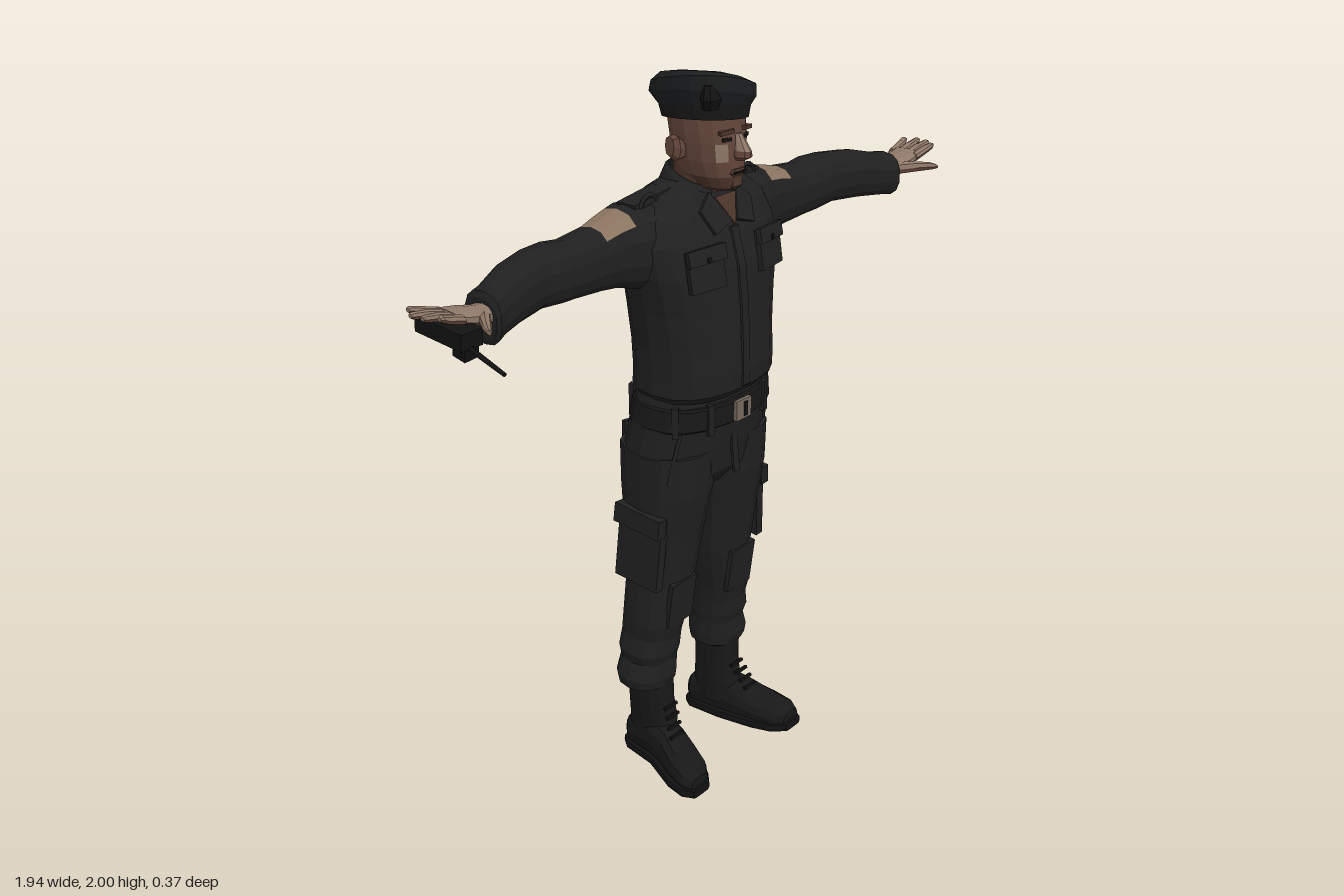
import * as THREE from 'three';

const mat = (name, color, extra = {}) => Object.assign(new THREE.MeshStandardMaterial({ color, ...extra }), { name });

export function createModel() {
  const root = new THREE.Group();
  root.name = 'uniformedMan';
  const cloth = mat('blackCloth', 0x202020, { side: THREE.DoubleSide });
  const leather = mat('blackLeather', 0x181818);
  const felt = mat('beretFelt', 0x1c1e1f);
  const skin = mat('faceSkin', 0x63463a);
  const jaw = mat('jawSkin', 0x4c352a);
  const light = mat('lightSkin', 0x8e7868);
  const patch = mat('tanPatch', 0x8a7460);
  const metal = mat('buckleMetal', 0x766a5f);
  const dark = mat('darkDetail', 0x121212);

  function add(name, geo, material, pos = [0, 0, 0], rot = [0, 0, 0], parent = root) {
    const m = new THREE.Mesh(geo, material);
    m.name = name;
    m.position.set(...pos);
    m.rotation.set(...rot);
    parent.add(m);
    return m;
  }
  const box = (name, size, material, pos, rot) => add(name, new THREE.BoxGeometry(...size), material, pos, rot);

  // Skin over rounded rings [t, c1, c2, r1, r2, tilt1, tilt2] set along an axis.
  // pick(i, j) chooses a material per face, or -1 for a gap; s mirrors in x.
  function loft(name, axis, rows, mats, { n = 14, p = 2.3, s = 1, pick = () => 0, caps = true } = {}) {
    const list = [].concat(mats);
    const faces = list.map(() => []);
    const bend = v => Math.sign(v) * Math.abs(v) ** (2 / p);
    const place = (t, a, b) => axis === 'y' ? [a * s, t, b] : axis === 'x' ? [t * s, a, b] : [a * s, b, t];
    const point = (i, j) => {
      const [t, c1, c2, r1, r2, k1 = 0, k2 = 0] = rows[i];
      const w = (j % n) / n * Math.PI * 2;
      const u = r1 * bend(Math.cos(w)), v = r2 * bend(Math.sin(w));
      return place(t + k1 * u + k2 * v, c1 + u, c2 + v);
    };
    const flip = (axis === 'y') !== (s < 0);
    const tri = (k, a, b, c) => faces[k].push(...(flip ? [...a, ...c, ...b] : [...a, ...b, ...c]));
    for (let i = 0; i < rows.length - 1; i++) for (let j = 0; j < n; j++) {
      const k = pick(i, j);
      if (k < 0) continue;
      tri(k, point(i, j), point(i, j + 1), point(i + 1, j + 1));
      tri(k, point(i, j), point(i + 1, j + 1), point(i + 1, j));
    }
    const last = rows.length - 1;
    const mid = i => place(rows[i][0], rows[i][1], rows[i][2]);
    if (caps) for (let j = 0; j < n; j++) {
      tri(0, mid(0), point(0, j + 1), point(0, j));
      tri(0, mid(last), point(last, j), point(last, j + 1));
    }
    const geo = new THREE.BufferGeometry();
    geo.setAttribute('position', new THREE.Float32BufferAttribute(faces.flat(), 3));
    let start = 0;
    faces.forEach((f, k) => { geo.addGroup(start, f.length / 3, k); start += f.length / 3; });
    geo.computeVertexNormals();
    return add(name, geo, list.length > 1 ? list : list[0]);
  }
  const plate = (name, pts, depth, material, pos, rot) => add(name, new THREE.ExtrudeGeometry(
    new THREE.Shape(pts.map(q => new THREE.Vector2(...q))), { depth, bevelEnabled: false }), material, pos, rot);

  // Shirt body and hips
  loft('shirt', 'y', [
    [1.155, 0, -.02, .19, .13], [1.175, 0, -.018, .206, .145], [1.22, 0, -.016, .203, .146],
    [1.3, 0, -.02, .204, .146], [1.4, 0, -.025, .216, .146], [1.5, 0, -.028, .24, .139],
    [1.58, 0, -.035, .245, .126], [1.64, 0, -.045, .225, .108], [1.685, 0, -.05, .165, .085],
    [1.71, 0, -.05, .08, .06]], cloth, { n: 18, p: 2.5 });
  loft('placket', 'y', [[1.18, 0, .126, .016, .005], [1.3, 0, .125, .016, .005], [1.4, 0, .12, .016, .005],
    [1.5, 0, .11, .016, .005], [1.6, 0, .083, .016, .005]], cloth, { n: 8, p: 4 });
  loft('hips', 'y', [[.86, 0, -.06, .11, .08], [.92, 0, -.048, .195, .118], [1.0, 0, -.048, .222, .133],
    [1.08, 0, -.035, .212, .132], [1.17, 0, -.025, .192, .126]], cloth, { n: 18, p: 2.5 });
  loft('belt', 'y', [[1.075, 0, -.03, .208, .138], [1.08, 0, -.03, .214, .143], [1.135, 0, -.025, .204, .14],
    [1.14, 0, -.025, .198, .135]], leather, { n: 18, p: 2.5 });
  box('buckle', [.06, .055, .012], metal, [0, 1.108, .117]);
  box('buckleBar', [.012, .04, .006], leather, [.006, 1.108, .124]);
  box('fly', [.022, .15, .008], cloth, [.004, .99, .087], [-.1, 0, 0]);
  for (const [x, z, r] of [[.11, .1, .25], [.185, .045, .9], [.13, -.155, -.3], [.04, -.172, -.05]])
    for (const s of [1, -1]) box('beltLoop', [.018, .085, .014], cloth, [x * s, 1.105, z], [0, r * s, 0]);

  // Neck and head
  loft('neck', 'y', [[1.6, 0, -.035, .07, .07], [1.66, 0, -.03, .064, .066], [1.76, 0, -.025, .062, .07]], jaw);
  loft('head', 'y', [
    [1.692, 0, .035, .035, .045], [1.7, 0, .025, .05, .07], [1.73, 0, .01, .066, .088], [1.77, 0, .003, .079, .097],
    [1.815, 0, 0, .085, .1], [1.84, 0, -.003, .087, .1], [1.89, 0, -.01, .088, .102]], [skin, jaw, light],
  { n: 16, p: 2.2, pick: (i, j) => i < 2 ? 1 : i === 3 && (j === 2 || j === 5) ? 2 : 0 });
  loft('nose', 'y', [[1.772, 0, .102, .012, .014], [1.782, 0, .11, .021, .026], [1.797, 0, .108, .017, .027],
    [1.838, 0, .094, .009, .012]], [skin, light], { n: 8, pick: i => i === 2 ? 1 : 0 });
  loft('lips', 'y', [[1.73, 0, .086, .02, .014], [1.74, 0, .09, .03, .016], [1.75, 0, .089, .024, .014]], jaw, { n: 8 });
  box('mouthLine', [.046, .004, .006], dark, [0, 1.742, .104]);
  loft('chin', 'y', [[1.694, 0, .075, .018, .014], [1.705, 0, .08, .026, .02], [1.724, 0, .082, .018, .015]], jaw, { n: 8 });
  for (const s of [1, -1]) {
    box('eye', [.026, .009, .006], dark, [.036 * s, 1.826, .09], [0, .3 * s, 0]);
    box('brow', [.04, .01, .014], jaw, [.038 * s, 1.845, .09], [0, .3 * s, -.1 * s]);
    loft('ear', 'x', [[.078, 1.795, -.015, .022, .012], [.1, 1.8, -.024, .034, .021], [.112, 1.805, -.03, .026, .015]],
      skin, { n: 8, s });
  }

  // Beret, slanting down to the left
  loft('beretBand', 'y', [[1.863, 0, -.012, .093, .112, -.1, .08], [1.9, 0, -.013, .1, .12, -.15, .12]], leather, { n: 18 });
  loft('beretCrown', 'y', [
    [1.892, 0, -.013, .099, .118, -.15, .12], [1.918, 0, -.02, .114, .138, -.25, .13], [1.944, 0, -.018, .114, .134, -.3, .2],
    [1.968, -.018, -.01, .086, .104, -.28, .14], [1.981, -.03, 0, .04, .05, -.2, .1]], felt, { n: 18 });
  loft('beretBadge', 'y', [[1.905, -.075, .07, .022, .016], [1.93, -.078, .075, .03, .022], [1.965, -.075, .07, .02, .016]],
    dark, { n: 8 });

  // Collar with open throat
  loft('collarStand', 'y', [[1.675, 0, -.04, .098, .092, 0, -.3], [1.712, 0, -.035, .08, .082, 0, -.34],
    [1.722, 0, -.033, .07, .074, 0, -.34]], cloth, { n: 16, caps: false, pick: (i, j) => j === 3 || j === 4 ? -1 : 0 });
  plate('throat', [[0, -.01], [.04, .07], [-.04, .07]], .005, jaw, [0, 1.612, .082], [-.46, 0, 0]);
  for (const s of [1, -1])
    plate('collarWing', [[.008 * s, 0], [.075 * s, -.02], [.098 * s, .045], [.05 * s, .085]], .012, cloth,
      [0, 1.612, .079], [-.46, .12 * s, 0]);

  for (const s of [1, -1]) {
    // Chest pockets and shoulder straps
    box('chestPocket', [.11, .105, .014], cloth, [.125 * s, 1.518, .098], [-.16, .2 * s, 0]);
    box('pocketFlap', [.118, .04, .014], cloth, [.125 * s, 1.556, .1], [-.22, .2 * s, 0]);
    box('pocketButton', [.012, .012, .008], dark, [.125 * s, 1.546, .109], [-.2, .2 * s, 0]);
    box('shoulderStrap', [.13, .016, .06], cloth, [.175 * s, 1.684, -.06], [0, 0, -.14 * s]);
    add('strapLoop', new THREE.TorusGeometry(.03, .006, 5, 8, Math.PI), cloth, [.19 * s, 1.67, -.03]);

    // Sleeve with a tan patch on top of the shoulder
    loft('sleeve', 'x', [
      [.15, 1.575, -.065, .1, .085], [.23, 1.572, -.068, .11, .088], [.265, 1.573, -.069, .102, .08],
      [.31, 1.575, -.068, .09, .072], [.36, 1.572, -.065, .08, .066], [.45, 1.571, -.062, .072, .064],
      [.5, 1.575, -.062, .074, .068], [.57, 1.578, -.058, .07, .064], [.66, 1.573, -.036, .069, .06],
      [.74, 1.56, -.01, .062, .056], [.775, 1.557, .004, .063, .06], [.782, 1.557, .005, .05, .05]], [cloth, patch],
    { s, p: 2.5, pick: (i, j) => (i === 2 || i === 3) && (j === 0 || j === 1 || j === 13) ? 1 : 0 });

    // Hand: palm, four fingers and thumb
    loft('palm', 'x', [[.76, 1.565, .008, .028, .034], [.8, 1.572, .012, .024, .034], [.84, 1.583, .012, .02, .046],
      [.885, 1.594, .008, .014, .046]], [light, skin], { n: 10, s, pick: (i, j) => j > 2 && j < 7 ? 1 : 0 });
    [[.045, .058, .945], [.02, .028, .966], [-.006, -.006, .97], [-.03, -.038, .95]].forEach(([z0, z1, tip]) =>
      loft('finger', 'x', [[.87, 1.59, z0, .012, .013], [.92, 1.605, (z0 + z1) / 2, .011, .012], [tip - .008, 1.613, z1, .009, .01],
        [tip, 1.614, z1, .005, .006]], [light, skin], { n: 8, s, pick: (i, j) => j > 1 && j < 6 ? 1 : 0 }));
    loft('thumb', 'x', [[.785, 1.568, .02, .018, .02], [.825, 1.575, .065, .016, .022], [.858, 1.578, .108, .011, .016],
      [.867, 1.578, .124, .006, .008]], [light, skin], { n: 8, s, pick: (i, j) => j > 1 && j < 6 ? 1 : 0 });

    // Trouser leg, bloused over the boot
    loft('trouserLeg', 'y', [
      [.25, .15, -.095, .055, .06], [.262, .156, -.098, .08, .074], [.29, .157, -.098, .084, .078],
      [.34, .148, -.096, .074, .076], [.37, .15, -.092, .08, .082], [.42, .143, -.088, .075, .082],
      [.47, .142, -.078, .08, .085], [.6, .122, -.07, .09, .09], [.75, .116, -.06, .1, .106],
      [.88, .111, -.052, .108, .125], [1.0, .11, -.05, .107, .13]], cloth, { s, p: 2.4 });
    box('cargoPocket', [.026, .21, .15], cloth, [.21 * s, .715, -.06], [.06, 0, .07 * s]);
    box('cargoFlap', [.03, .055, .16], cloth, [.219 * s, .805, -.055], [.06, 0, .09 * s]);
    box('hipPocketEdge', [.01, .15, .012], cloth, [.185 * s, 1.0, .04], [0, .8 * s, .22 * s]);
    box('kneePatch', [.1, .14, .014], cloth, [.128 * s, .54, .008], [.14, 0, 0]);
    box('seatPocket', [.09, .09, .012], cloth, [.1 * s, .99, -.17], [.03, .2 * s, 0]);

    // Boot
    loft('bootShaft', 'y', [[.06, .142, -.09, .05, .075], [.13, .143, -.085, .05, .075], [.2, .146, -.09, .05, .07],
      [.28, .148, -.092, .053, .07]], leather, { s });
    loft('bootFoot', 'z', [
      [-.174, .138, .055, .03, .04], [-.155, .139, .062, .047, .056], [-.06, .15, .075, .052, .068], [0, .163, .068, .055, .06],
      [.06, .184, .053, .06, .045], [.115, .2, .042, .055, .036], [.145, .208, .034, .034, .024]], leather, { s, n: 12 });
    loft('bootSole', 'z', [[-.18, .138, .014, .032, .014], [-.155, .139, .014, .05, .014], [-.05, .151, .014, .053, .014],
      [.06, .186, .014, .066, .014], [.12, .202, .014, .06, .014], [.153, .21, .014, .034, .014]], dark, { s, n: 12, p: 5 });
    for (let k = 0; k < 4; k++)
      box('lace', [.05, .008, .01], dark, [(.148 + k * .006) * s, .19 - k * .025, -.016 + k * .012], [-.3, 0, 0]);
  }

  // Hand-held radio under the right hand
  box('radioBody', [.062, .04, .15], dark, [-.882, 1.562, .01], [.08, 0, 0]);
  box('radioGrip', [.04, .05, .04], dark, [-.88, 1.535, .06], [.2, 0, .1]);
  add('radioAntenna', new THREE.CylinderGeometry(.005, .007, .12, 6), dark, [-.886, 1.522, .13], [Math.PI / 2 + .3, 0, 0]);
  return root;
}
